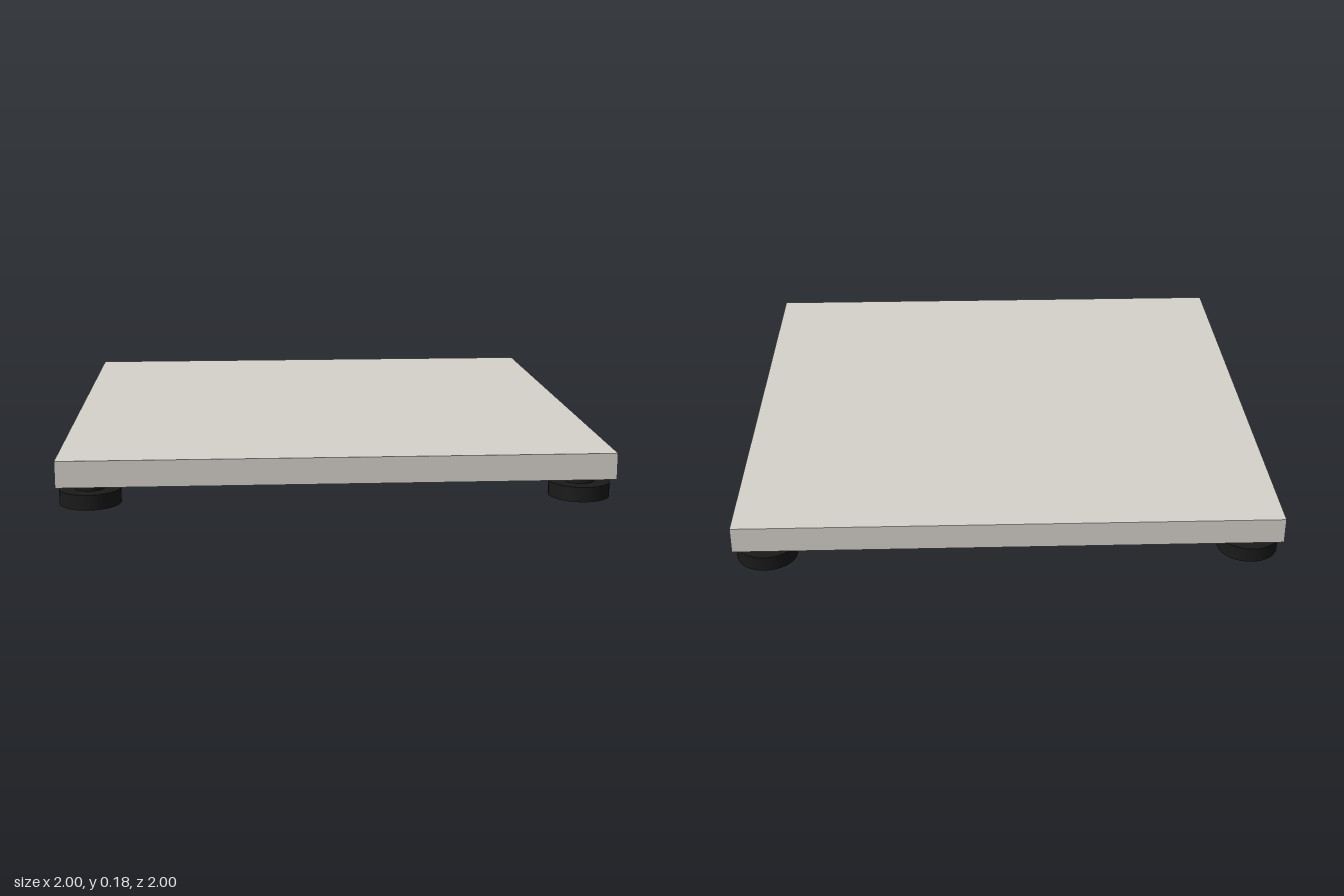
import * as THREE from 'three';

export function createModel() {
  const model = new THREE.Group();
  const stone = new THREE.MeshStandardMaterial({ color: 0xd6d2cb });
  const rubber = new THREE.MeshStandardMaterial({ color: 0x1a1a1a });

  const add = (parent, name, geometry, material, y) => {
    const mesh = new THREE.Mesh(geometry, material);
    mesh.name = name;
    mesh.position.y = y;
    parent.add(mesh);
  };

  // Square slab
  const padHeight = 0.055, slabBottom = 0.083, slabTop = 0.18;
  const slabHeight = slabTop - slabBottom;
  add(model, 'slab', new THREE.BoxGeometry(2, slabHeight, 2), stone, slabBottom + slabHeight / 2);

  // Four corner feet: a wide pad under a narrow stem
  const padRadius = 0.111, stemHeight = slabBottom - padHeight;
  const padGeometry = new THREE.CylinderGeometry(padRadius, padRadius, padHeight, 32);
  const stemGeometry = new THREE.CylinderGeometry(0.055, 0.055, stemHeight, 32);
  for (const [side, sx] of [['Left', 1], ['Right', -1]]) {
    for (const [end, sz] of [['front', 1], ['back', -1]]) {
      const foot = new THREE.Group();
      foot.name = `${end}${side}Foot`;
      foot.position.set(sx * (1 - padRadius), 0, sz * (1 - padRadius));
      add(foot, 'footPad', padGeometry, rubber, padHeight / 2);
      add(foot, 'footStem', stemGeometry, rubber, padHeight + stemHeight / 2);
      model.add(foot);
    }
  }
  return model;
}
